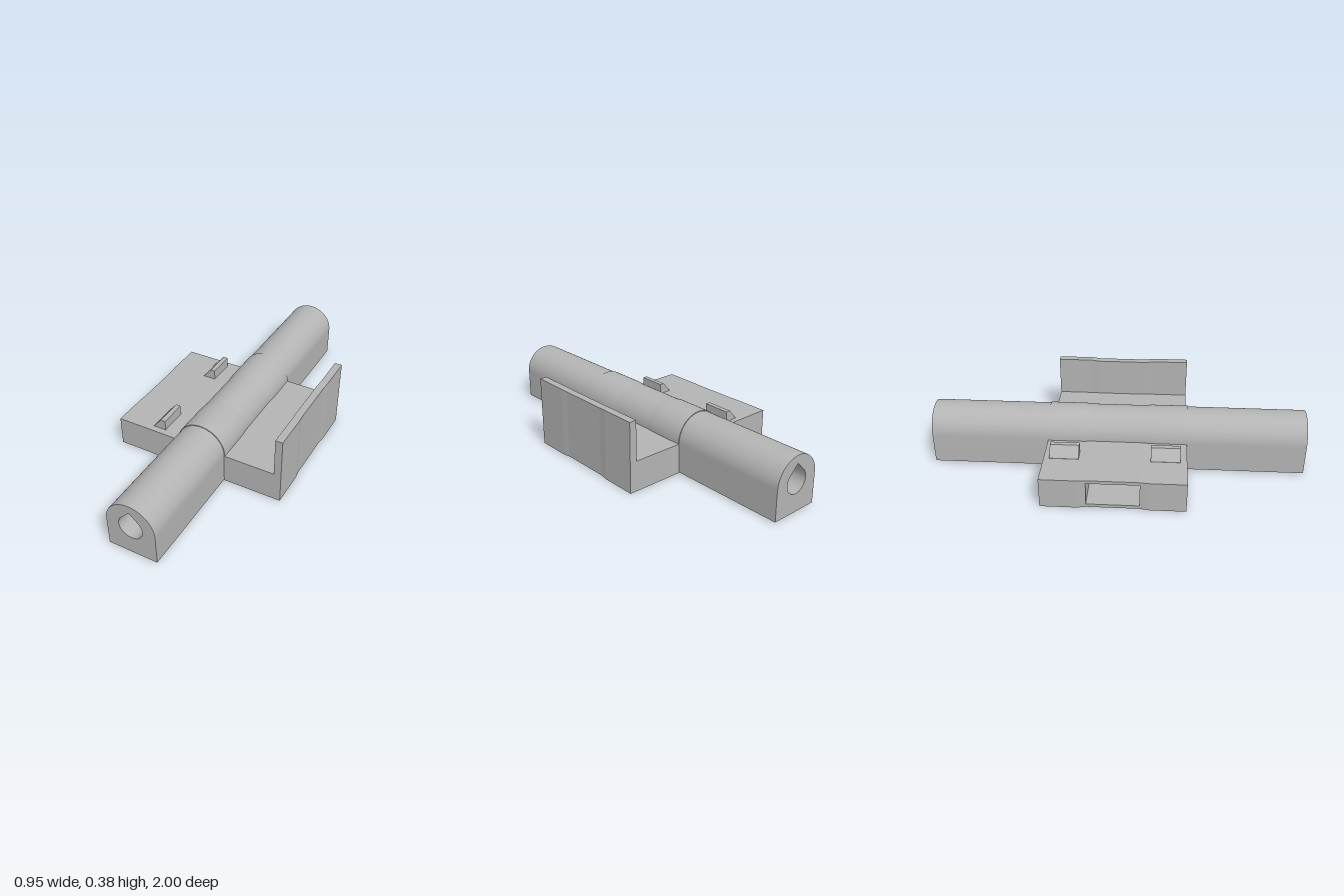
import * as THREE from 'three';
import { toCreasedNormals } from 'three/addons/utils/BufferGeometryUtils.js';

const ROD_X = 0.025, ROD_Y = 0.167, ROD_R = 0.1325;
const FULL = [-0.37, -0.18, -0.135, 0.135, 0.18, 0.37];

// Box sliced along z at the given cuts, slightly waisted between the two clamp ends
function waistedBox(x0, x1, y0, y1, cuts) {
  const n = cuts.length - 1;
  const box = new THREE.BoxGeometry(x1 - x0, y1 - y0, n, 1, 1, n);
  box.translate((x0 + x1) / 2, (y0 + y1) / 2, n / 2);
  const p = box.attributes.position;
  for (let i = 0; i < p.count; i++) {
    const z = cuts[Math.round(p.getZ(i))];
    const waist = Math.abs(z) < 0.16;
    p.setXYZ(i, p.getX(i) * (waist ? 0.991 : 1),
      waist ? 0.19 + (p.getY(i) - 0.19) * 0.98 : p.getY(i), z);
  }
  const geometry = box.toNonIndexed();
  geometry.computeVertexNormals();
  return geometry;
}

// Square base with a round top, centred on the bore
function archShape(r, bottom) {
  const s = new THREE.Shape();
  s.moveTo(-r, bottom);
  s.lineTo(r, bottom);
  s.lineTo(r, 0);
  s.absarc(0, 0, r, 0, Math.PI, false);
  s.lineTo(-r, bottom);
  return s;
}

export function createModel() {
  const model = new THREE.Group();
  const grey = new THREE.MeshStandardMaterial({ color: 0xb4b4b4 });
  grey.name = 'grey plastic';

  const add = (name, geometry) => {
    const mesh = new THREE.Mesh(geometry, grey);
    mesh.name = name;
    model.add(mesh);
    return mesh;
  };

  // Long arched bar with a teardrop bore
  const barShape = archShape(ROD_R, 0.005 - ROD_Y);
  const bore = new THREE.Path();
  bore.moveTo(0, 0.091);
  bore.absarc(0, 0, 0.0645, Math.PI * 0.75, Math.PI * 2.25, false);
  bore.lineTo(0, 0.091);
  barShape.holes.push(bore);
  const bar = new THREE.ExtrudeGeometry(barShape, { depth: 2, bevelEnabled: false, curveSegments: 32 });
  bar.translate(ROD_X, ROD_Y, -1);
  add('bar', toCreasedNormals(bar, 0.5));

  // Clamp body: solid core, side wall and a hollow wing with a side slot
  add('bodyCore', waistedBox(-0.13, 0.474, 0, 0.163, FULL));
  add('sideWall', waistedBox(0.435, 0.474, 0.15, 0.377, FULL));
  add('wingFloor', waistedBox(-0.477, -0.13, 0, 0.018, FULL));
  add('wingRoof', waistedBox(-0.477, -0.13, 0.145, 0.163, FULL));
  add('wingFrontBlock', waistedBox(-0.477, -0.13, 0.018, 0.145, [0.135, 0.18, 0.37]));
  add('wingBackBlock', waistedBox(-0.477, -0.13, 0.018, 0.145, [-0.37, -0.18, -0.135]));

  // Raised collars over the bar, fading into it towards the middle
  const collarR = ROD_R + 0.004;
  for (const front of [true, false]) {
    const collar = new THREE.ExtrudeGeometry(archShape(collarR, -0.12),
      { depth: 2, steps: 2, bevelEnabled: false, curveSegments: 32 });
    const p = collar.attributes.position;
    for (let i = 0; i < p.count; i++) {
      const step = Math.round(p.getZ(i));
      const k = step === 0 ? ROD_R / collarR : 1;
      p.setXYZ(i, p.getX(i) * k, p.getY(i) * k, [0.135, 0.18, 0.37][step]);
    }
    if (!front) collar.rotateY(Math.PI);
    collar.translate(ROD_X, ROD_Y, 0);
    collar.deleteAttribute('normal');
    add(front ? 'frontCollar' : 'backCollar', toCreasedNormals(collar, 0.5));
  }

  // Two ramped catches on the wing
  const catchShape = new THREE.Shape([
    new THREE.Vector2(-0.285, 0.16), new THREE.Vector2(-0.213, 0.16),
    new THREE.Vector2(-0.213, 0.219), new THREE.Vector2(-0.239, 0.219),
    new THREE.Vector2(-0.285, 0.164),
  ]);
  for (const [name, z] of [['frontCatch', 0.183], ['backCatch', -0.34]]) {
    const geometry = new THREE.ExtrudeGeometry(catchShape, { depth: 0.152, bevelEnabled: false });
    add(name, geometry.translate(0, 0, z));
  }

  return model;
}
